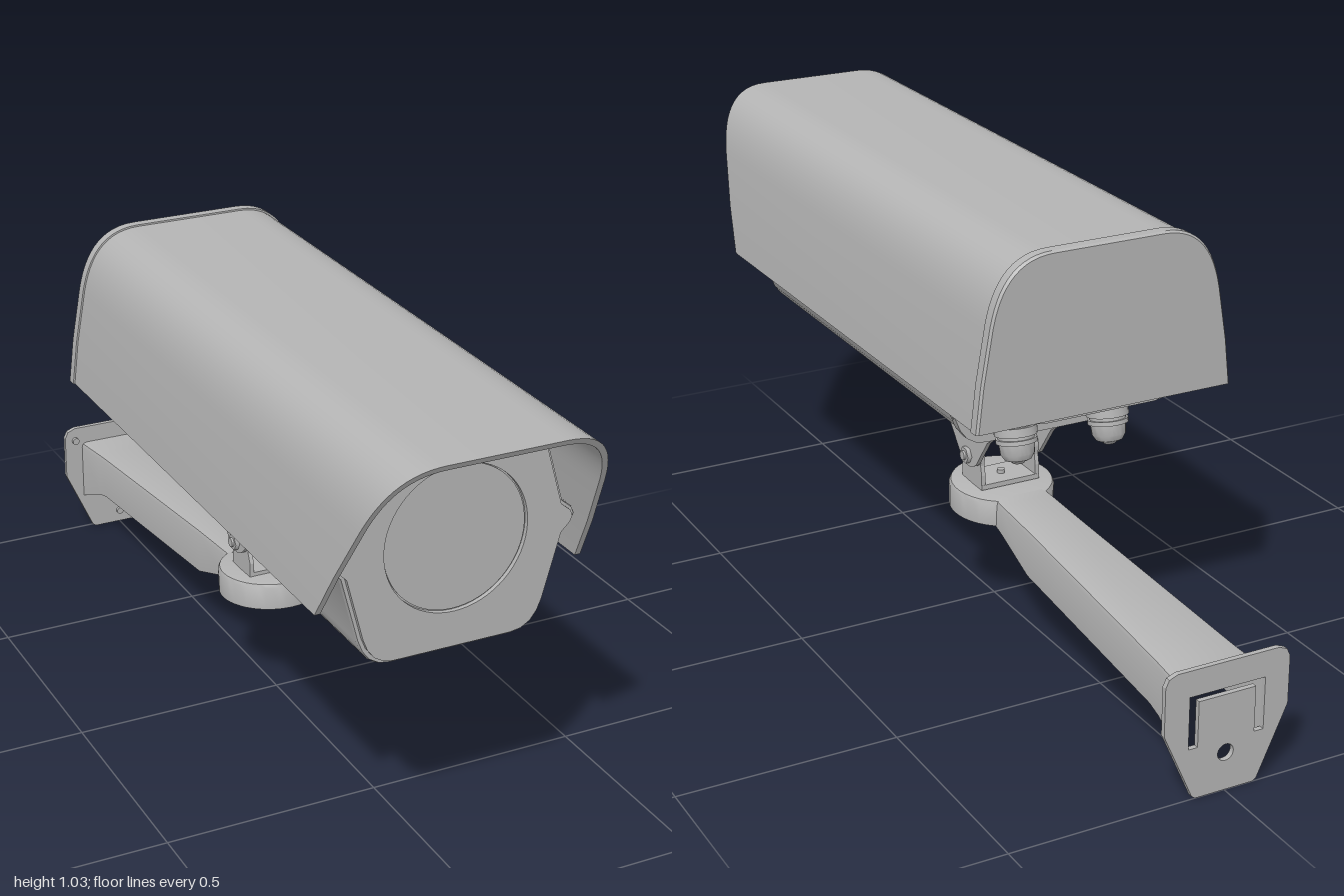
import * as THREE from 'three';
import { toCreasedNormals } from 'three/addons/utils/BufferGeometryUtils.js';

const metal = new THREE.MeshStandardMaterial({ color: 0xb4b4b4 });
metal.name = 'grey metal';

function add(group, name, geo, x = 0, y = 0, z = 0) {
  const m = new THREE.Mesh(geo, metal);
  m.name = name;
  m.position.set(x, y, z);
  group.add(m);
  return m;
}

// Skin over counter-clockwise [x, y, z] loops running from front to back, with end caps
function loft(loops) {
  const pos = [];
  const tri = (a, b, c) => pos.push(...a, ...b, ...c);
  const n = loops[0].length;
  for (let i = 0; i < loops.length - 1; i++) {
    for (let j = 0; j < n; j++) {
      const k = (j + 1) % n;
      const a = loops[i][j], b = loops[i][k], c = loops[i + 1][k], d = loops[i + 1][j];
      tri(a, d, b);
      tri(b, d, c);
    }
  }
  const cap = (l, flip) => {
    const pts = l.map(p => new THREE.Vector2(p[0], p[1]));
    for (const [a, b, c] of THREE.ShapeUtils.triangulateShape(pts, [])) {
      if (flip) tri(l[a], l[c], l[b]); else tri(l[a], l[b], l[c]);
    }
  };
  cap(loops[0], false);
  cap(loops[loops.length - 1], true);
  const g = new THREE.BufferGeometry();
  g.setAttribute('position', new THREE.Float32BufferAttribute(pos, 3));
  return toCreasedNormals(g, 0.6);
}

// Right half, bottom to top, completed by its mirror image
const mirror = half => [...half, ...half.map(([x, y]) => [-x, y]).reverse()];
const atZ = (pts, z) => pts.map(([x, y]) => [x, y, z]);
const grow = (pts, s) => pts.map(([x, y]) => [x * s, 0.76 + (y - 0.76) * s]);
const toShape = pts => new THREE.Shape(pts.map(p => new THREE.Vector2(p[0], p[1])));

function hole(x, y, r) {
  const p = new THREE.Path();
  p.absarc(x, y, r, 0, Math.PI * 2, true);
  return p;
}

function slab(shape, depth) {
  return new THREE.ExtrudeGeometry(shape, { depth, bevelEnabled: false, curveSegments: 32 });
}

// Plate drawn in (z, y), with its thickness along x and centred
function sidePlate(shape, t) {
  return slab(shape, t).rotateY(-Math.PI / 2).translate(t / 2, 0, 0);
}

function hoodHalf(d) {
  const curve = new THREE.CubicBezierCurve(
    new THREE.Vector2(0.275 - d, 0.87), new THREE.Vector2(0.26 - d, 0.97),
    new THREE.Vector2(0.22 - d, 1.03 - d), new THREE.Vector2(0.13 - d * 0.4, 1.03 - d));
  return [[0.305 - d, 0.66], [0.293 - d, 0.765], ...curve.getPoints(14).map(p => [p.x, p.y])];
}

export function createModel() {
  const root = new THREE.Group();

  // Sunshade: a thin arched shell with a slanted front edge
  const shell = [...mirror(hoodHalf(0)), ...mirror(hoodHalf(0.013)).reverse()];
  add(root, 'sunshade', loft([
    shell.map(([x, y]) => [x, y, 1 - (1.03 - y) * 0.53]),
    atZ(shell, -0.485),
  ]));
  const cap = mirror(hoodHalf(-0.004));
  add(root, 'sunshadeBackCap', loft([
    atZ(cap, -0.477), atZ(cap, -0.5), atZ(grow(cap, 0.985).map(([x, y]) => [x, Math.max(y, 0.66)]), -0.506),
  ]));
  add(root, 'sunshadeClip', new THREE.BoxGeometry(0.025, 0.02, 0.06), 0, 1.008, 0.78);

  // Housing with side ridges
  const body = mirror([[0.14, 0.517], [0.165, 0.521], [0.187, 0.534], [0.203, 0.555], [0.214, 0.582],
    [0.254, 0.73], [0.274, 0.75], [0.28, 0.764], [0.274, 0.778], [0.251, 0.797],
    [0.21, 0.935], [0.195, 0.972], [0.17, 0.993], [0.14, 1.0]]);
  add(root, 'housing', loft([atZ(grow(body, 0.99), 0.812), atZ(body, 0.805), atZ(body, -0.215)]));
  const rim = grow(body, 1.025);
  add(root, 'rearRim', loft([atZ(rim, -0.21), atZ(rim, -0.235)]));

  // Front plate with the round window
  const face = toShape(grow(body, 0.96));
  face.holes.push(hole(0, 0.77, 0.163));
  add(root, 'frontPlate', slab(face, 0.012), 0, 0, 0.81);
  add(root, 'window', new THREE.CylinderGeometry(0.16, 0.16, 0.006, 64).rotateX(Math.PI / 2), 0, 0.77, 0.812);

  // Rear scoop, rising towards the back
  const scoop = (z, b, w = 1) => atZ(mirror([[0.13 * w, b], [0.17 * w, b + 0.008], [0.2 * w, b + 0.028],
    [0.222 * w, b + 0.06], [0.25, 0.75], [0.25, 0.8], [0.2, 0.95], [0.14, 0.98]]), z);
  add(root, 'rearScoop', loft([
    scoop(-0.225, 0.52), scoop(-0.236, 0.55), scoop(-0.25, 0.574), scoop(-0.28, 0.59),
    scoop(-0.35, 0.61), scoop(-0.48, 0.645, 1.03),
  ]));

  // Cable glands under the scoop
  const glandProfile = [[0, -0.108], [0.012, -0.108], [0.016, -0.104], [0.03, -0.098], [0.038, -0.085],
    [0.04, -0.06], [0.046, -0.06], [0.046, -0.05], [0.041, -0.05], [0.041, -0.042],
    [0.048, -0.042], [0.048, -0.022], [0.04, -0.022], [0.04, 0.01]];
  for (const s of [-1, 1]) {
    const g = new THREE.LatheGeometry(glandProfile.map(p => new THREE.Vector2(...p)), 24);
    add(root, 'cableGland', toCreasedNormals(g, 0.6), s * 0.115, 0.598, -0.308).rotation.x = 0.2;
  }

  // Tilt bracket: upper yoke
  add(root, 'yokeTop', new THREE.BoxGeometry(0.175, 0.013, 0.31), 0, 0.511, -0.025);
  add(root, 'yokeScrew', new THREE.CylinderGeometry(0.016, 0.016, 0.012, 20), 0, 0.5, -0.035);
  const yoke = new THREE.Shape();
  yoke.moveTo(0.13, 0.515);
  yoke.lineTo(0.122, 0.48);
  yoke.quadraticCurveTo(0.115, 0.468, 0.07, 0.46);
  yoke.lineTo(0.01, 0.39);
  yoke.quadraticCurveTo(-0.03, 0.345, -0.075, 0.38);
  yoke.lineTo(-0.13, 0.455);
  yoke.quadraticCurveTo(-0.18, 0.49, -0.182, 0.515);
  // Lower yoke
  const lug = new THREE.Shape();
  lug.moveTo(0.015, 0.318);
  lug.lineTo(0.015, 0.352);
  lug.lineTo(0.005, 0.375);
  lug.absarc(-0.035, 0.395, 0.042, 0, Math.PI, false);
  lug.lineTo(-0.075, 0.375);
  lug.lineTo(-0.08, 0.352);
  lug.lineTo(-0.08, 0.318);
  for (const s of [-1, 1]) {
    add(root, 'yokeSide', sidePlate(yoke, 0.01), s * 0.082);
    add(root, 'lowerYokeSide', sidePlate(lug, 0.01), s * 0.07);
    add(root, 'pivotBolt', new THREE.CylinderGeometry(0.011, 0.011, 0.045, 20).rotateZ(Math.PI / 2), s * 0.08, 0.392, -0.035);
    add(root, 'pivotNut', new THREE.CylinderGeometry(0.02, 0.02, 0.01, 6).rotateZ(Math.PI / 2), s * 0.092, 0.392, -0.035);
  }
  add(root, 'lowerYokeBase', new THREE.BoxGeometry(0.15, 0.012, 0.095), 0, 0.322, -0.033);
  add(root, 'baseScrew', new THREE.CylinderGeometry(0.009, 0.009, 0.012, 16), 0, 0.331, -0.033);

  // Swivel cup, open below
  const cupProfile = [[0, 0.018], [0.108, 0.018], [0.108, -0.032], [0.121, -0.032],
    [0.122, 0.022], [0.118, 0.03], [0.11, 0.032], [0, 0.032]];
  const cup = new THREE.LatheGeometry(cupProfile.map(p => new THREE.Vector2(...p)), 48);
  add(root, 'swivelCup', toCreasedNormals(cup, 0.6), 0, 0.284, -0.035).rotation.x = -0.05;

  // Arm: a channel open below that widens towards the wall
  const t = 0.011;
  const channel = (z, w, top, bot) => atZ([
    [w, bot], [w, top - 0.012], [w - 0.003, top - 0.004], [w - 0.012, top],
    [-w + 0.012, top], [-w + 0.003, top - 0.004], [-w, top - 0.012], [-w, bot],
    [-w + t, bot], [-w + t, top - t - 0.004], [w - t, top - t - 0.004], [w - t, bot]], z);
  add(root, 'arm', loft([
    channel(-0.13, 0.066, 0.312, 0.246), channel(-0.16, 0.067, 0.31, 0.238),
    channel(-0.29, 0.07, 0.302, 0.19), channel(-0.85, 0.091, 0.264, 0.153),
    channel(-0.89, 0.093, 0.261, 0.143), channel(-0.988, 0.101, 0.255, 0.1),
  ]));

  // Wall plate with bolt hole and a slot around the arm root
  const plate = toShape(mirror([[0.07, 0.002], [0.078, 0.008], [0.148, 0.165], [0.148, 0.275],
    [0.14, 0.292], [0.12, 0.3]]));
  plate.holes.push(hole(0, 0.09, 0.019));
  plate.holes.push(new THREE.Path([[-0.09, 0.12], [-0.09, 0.24], [0.09, 0.24], [0.09, 0.12],
    [0.068, 0.12], [0.068, 0.225], [-0.068, 0.225], [-0.068, 0.12]].map(p => new THREE.Vector2(...p))));
  add(root, 'wallPlate', slab(plate, 0.012), 0, 0, -1);
  for (const [x, y] of [[-0.12, 0.265], [0.12, 0.265], [0, 0.035]]) {
    add(root, 'plateScrew', new THREE.CylinderGeometry(0.009, 0.009, 0.02, 16).rotateX(Math.PI / 2), x, y, -0.99);
  }
  return root;
}
